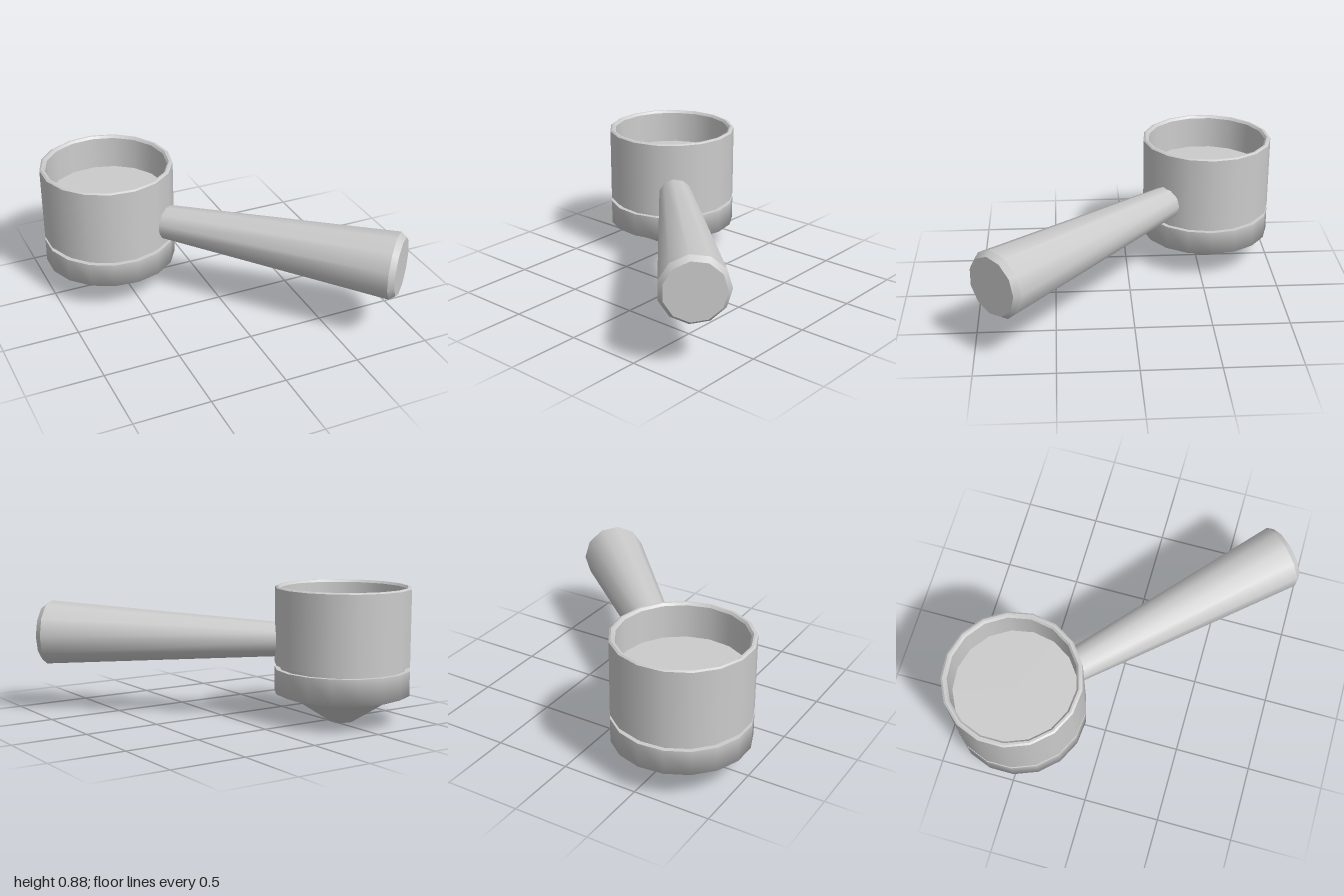
import * as THREE from 'three';
import { mergeGeometries } from 'three/addons/utils/BufferGeometryUtils.js';

const material = new THREE.MeshStandardMaterial({ color: 0xcccccc });

// Turned part: each band of [radius, height] points is smooth, with hard edges between bands.
function turned(name, sides, bands) {
  const parts = bands.map((band) => new THREE.LatheGeometry(
    band.map(([r, y]) => new THREE.Vector2(r, y)), sides, Math.PI / 2));
  const mesh = new THREE.Mesh(mergeGeometries(parts), material);
  mesh.name = name;
  return mesh;
}

export function createModel() {
  const model = new THREE.Group();
  model.name = 'portafilter';

  const head = new THREE.Group();
  head.name = 'head';
  head.position.set(-0.566, 0, -0.562);
  model.add(head);

  // Lower cup with a conical spout
  head.add(turned('spoutCone', 17, [
    [[0, 0], [0.08, 0]],
    [[0.08, 0], [0.297, 0.14]],
  ]));
  head.add(turned('lowerCup', 17, [
    [[0.297, 0.14], [0.44, 0.19], [0.44, 0.35]],
    [[0.44, 0.35], [0.4, 0.35]],
  ]));

  // Recessed collar between the cup and the basket
  head.add(turned('collar', 17, [[[0.409, 0.345], [0.409, 0.38]]]));

  // Basket: outer wall, bevelled rim, inner wall and floor
  head.add(turned('basket', 17, [
    [[0.4, 0.377], [0.44, 0.377]],
    [[0.44, 0.377], [0.44, 0.872]],
    [[0.44, 0.872], [0.428, 0.88]],
    [[0.428, 0.88], [0.415, 0.88]],
    [[0.415, 0.88], [0.402, 0.865]],
    [[0.402, 0.865], [0.397, 0.65]],
    [[0.397, 0.65], [0, 0.65]],
  ]));

  // Tapered handle with a chamfered end, pointing diagonally forward
  const handle = turned('handle', 11, [
    [[0, 0.41], [0.113, 0.41]],
    [[0.113, 0.41], [0.218, 1.98]],
    [[0.218, 1.98], [0.19, 2.018]],
    [[0.19, 2.018], [0, 2.018]],
  ]);
  handle.geometry.rotateX(Math.PI / 2).rotateY(Math.PI / 4);
  handle.position.set(-0.569, 0.52, -0.559);
  model.add(handle);

  return model;
}
